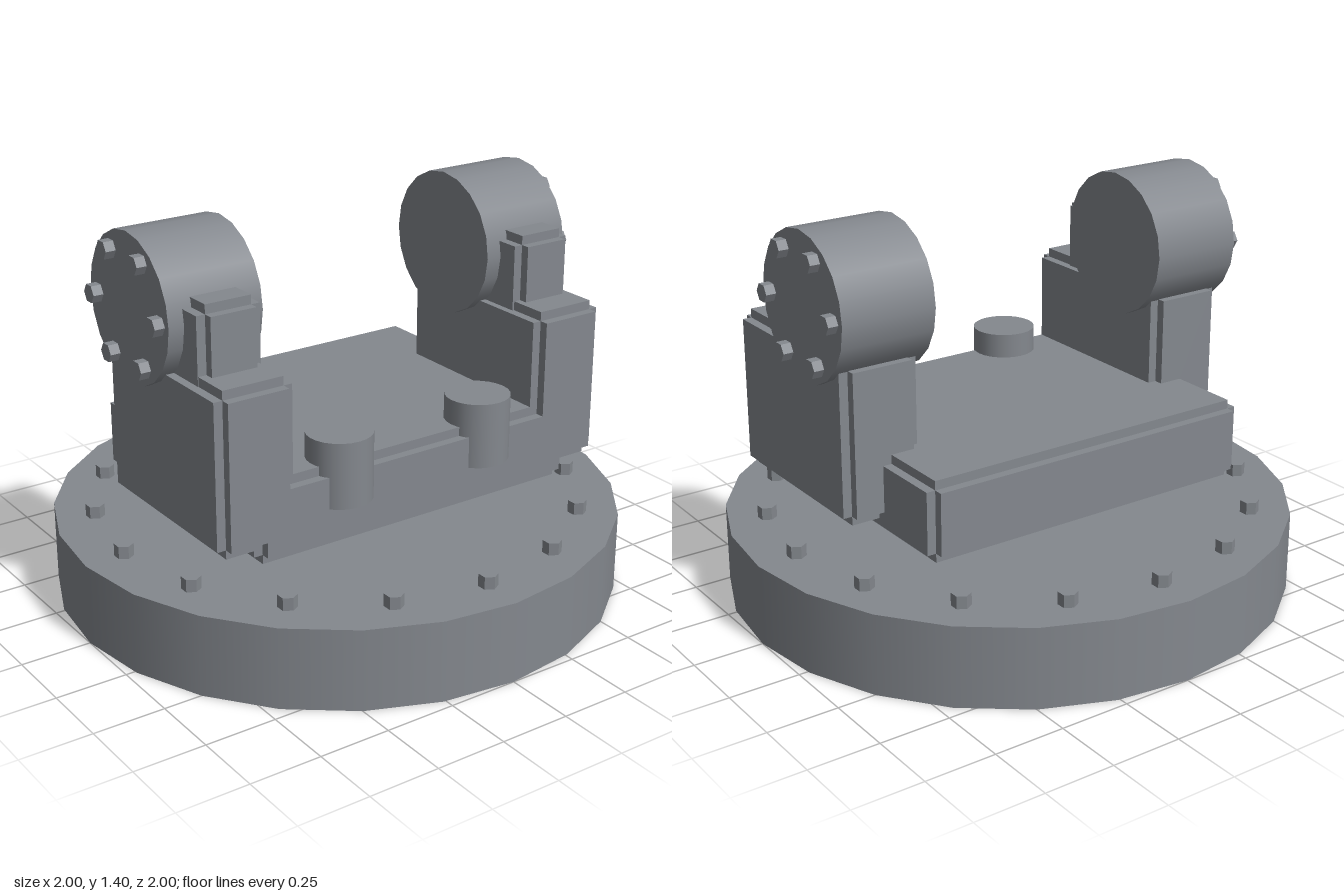
import * as THREE from 'three';

const COLOR = 0x84888e;
const smooth = new THREE.MeshStandardMaterial({ color: COLOR });
const faceted = new THREE.MeshStandardMaterial({ color: COLOR, flatShading: true });
const STEP = 0.032;

// Block with stepped edges: three crossing boxes, each full size along one axis
function steppedBlock(name, min, max) {
  const group = new THREE.Group();
  group.name = name;
  group.position.set(...max.map((v, i) => (v + min[i]) / 2));
  for (let axis = 0; axis < 3; axis++) {
    const size = max.map((v, i) => v - min[i] - (i === axis ? 0 : 2 * STEP));
    const mesh = new THREE.Mesh(new THREE.BoxGeometry(...size), faceted);
    mesh.name = name + 'Slab' + 'XYZ'[axis];
    group.add(mesh);
  }
  return group;
}

function cylinder(name, radius, height, sides, material, x, y, z) {
  const mesh = new THREE.Mesh(new THREE.CylinderGeometry(radius, radius, height, sides), material);
  mesh.name = name;
  mesh.position.set(x, y, z);
  return mesh;
}

export function createModel() {
  const model = new THREE.Group();
  model.name = 'trunnionMount';

  // Round base with a ring of bolts
  model.add(cylinder('base', 1, 0.286, 24, smooth, 0, 0.143, 0));
  for (let i = 0; i < 16; i++) {
    const a = (i / 16) * Math.PI * 2;
    model.add(cylinder('baseBolt', 0.033, 0.06, 6, faceted, 0.857 * Math.sin(a), 0.3, 0.857 * Math.cos(a)));
  }

  // Raised platform
  model.add(steppedBlock('platform', [-0.64, 0.377, -0.5], [0.64, 0.66, 0.5]));

  for (const side of [1, -1]) {
    const span = (a, b) => (side > 0 ? [a, b] : [-b, -a]);

    // Side pillar and the small block on top of it
    const [p0, p1] = span(0.49, 0.775);
    model.add(steppedBlock('pillar', [p0, 0.432, -0.21], [p1, 1.0, 0.5]));
    const [b0, b1] = span(0.515, 0.745);
    model.add(steppedBlock('bearingBlock', [b0, 0.9, -0.1], [b1, 1.23, 0.36]));

    // Trunnion drum with bolts on its outer face
    const drum = cylinder('drum', 0.255, 0.342, 20, smooth, side * 0.629, 1.143, 0);
    drum.rotation.z = Math.PI / 2;
    model.add(drum);
    for (let i = 0; i < 6; i++) {
      const a = (i / 6) * Math.PI * 2;
      const bolt = cylinder('drumBolt', 0.033, 0.06, 6, faceted,
        side * 0.806, 1.143 + 0.2 * Math.sin(a), 0.2 * Math.cos(a));
      bolt.rotation.z = Math.PI / 2;
      model.add(bolt);
    }

    // Upright peg at the front edge of the platform
    model.add(cylinder('peg', 0.113, 0.23, 24, smooth, side * 0.285, 0.633, 0.43));
  }
  return model;
}
